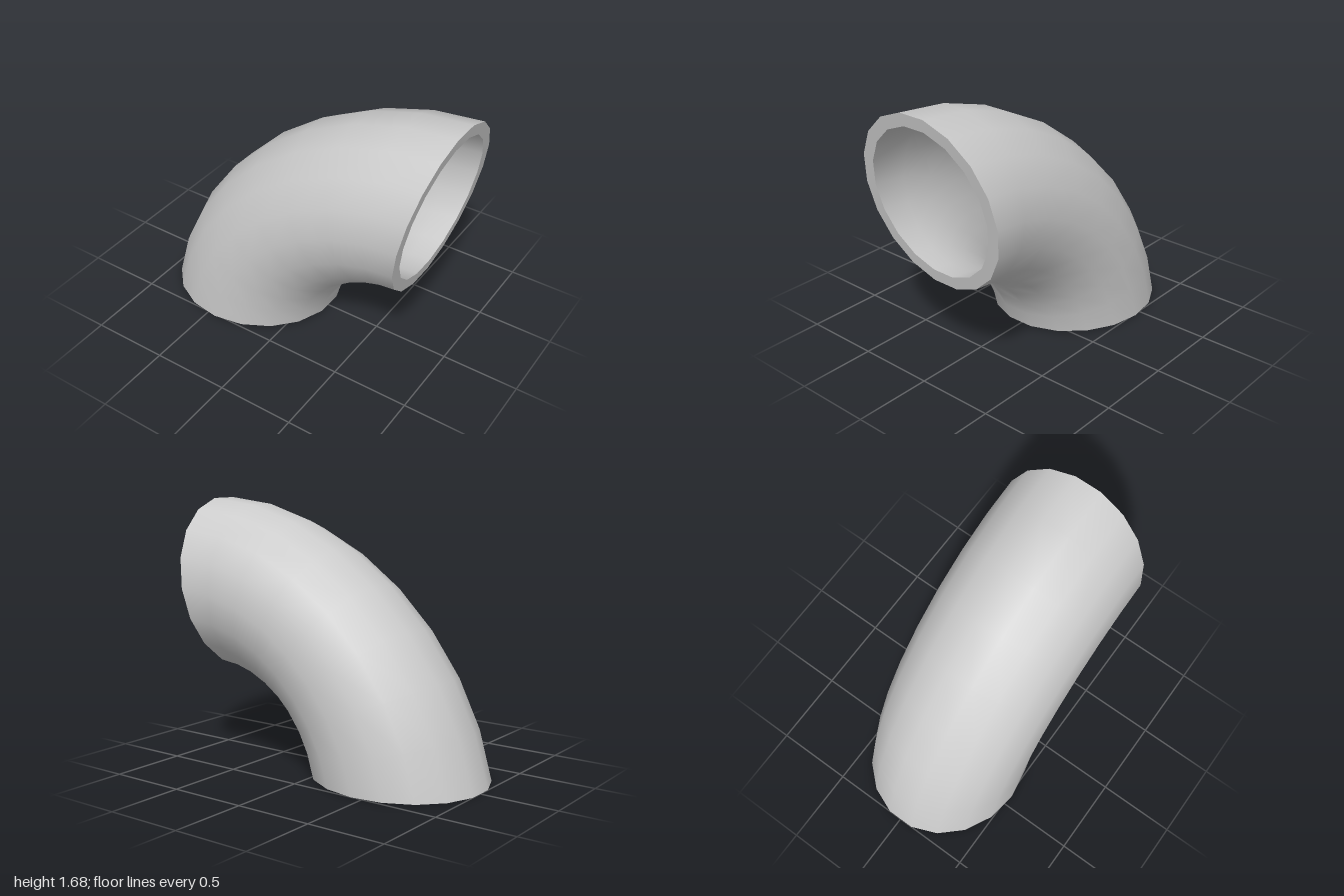
import * as THREE from 'three';

const SIDES = 18, STEPS = 8;

// Elbow centre and the two in-plane axes of the slightly stretched quarter bend
const CENTRE = new THREE.Vector3(0.687, 0.022, 0);
const START = new THREE.Vector3(-1.687, -0.022, 0);
const END = new THREE.Vector3(0.313, 1.657, 0);

// One ring of the pipe wall; scale 1 is the outside, smaller is the bore
function ring(step, scale) {
  const a = (step / STEPS) * Math.PI / 2;
  return Array.from({ length: SIDES }, (_, j) => {
    const phi = ((j + 0.5) / SIDES) * Math.PI * 2;
    const rho = 0.665 + 0.34 * scale * Math.cos(phi);
    const p = CENTRE.clone()
      .addScaledVector(START, rho * Math.cos(a))
      .addScaledVector(END, rho * Math.sin(a));
    p.z = 0.52 * scale * Math.sin(phi);
    return p;
  });
}

// Joins successive rings into a closed band with smooth normals
function band(name, rings, material) {
  const index = [];
  for (let i = 0; i < rings.length - 1; i++) {
    for (let j = 0; j < SIDES; j++) {
      const k = (j + 1) % SIDES;
      const a = i * SIDES + j, b = i * SIDES + k;
      index.push(a, b, a + SIDES, b, b + SIDES, a + SIDES);
    }
  }
  const geometry = new THREE.BufferGeometry().setFromPoints(rings.flat());
  geometry.setIndex(index);
  geometry.computeVertexNormals();
  const mesh = new THREE.Mesh(geometry, material);
  mesh.name = name;
  return mesh;
}

export function createModel() {
  const group = new THREE.Group();
  group.name = 'pipeElbow';
  const material = new THREE.MeshStandardMaterial({ color: 0xcccccc });
  const BORE = 0.856;
  const sweep = (scale) => Array.from({ length: STEPS + 1 }, (_, i) => ring(i, scale));
  const outer = sweep(1), inner = sweep(BORE);

  group.add(
    band('outerWall', outer, material),
    band('innerWall', [...inner].reverse(), material),
    // Flat rims at both openings
    band('lowerRim', [inner[0], outer[0]], material),
    band('upperRim', [outer[STEPS], inner[STEPS]], material),
  );
  return group;
}
